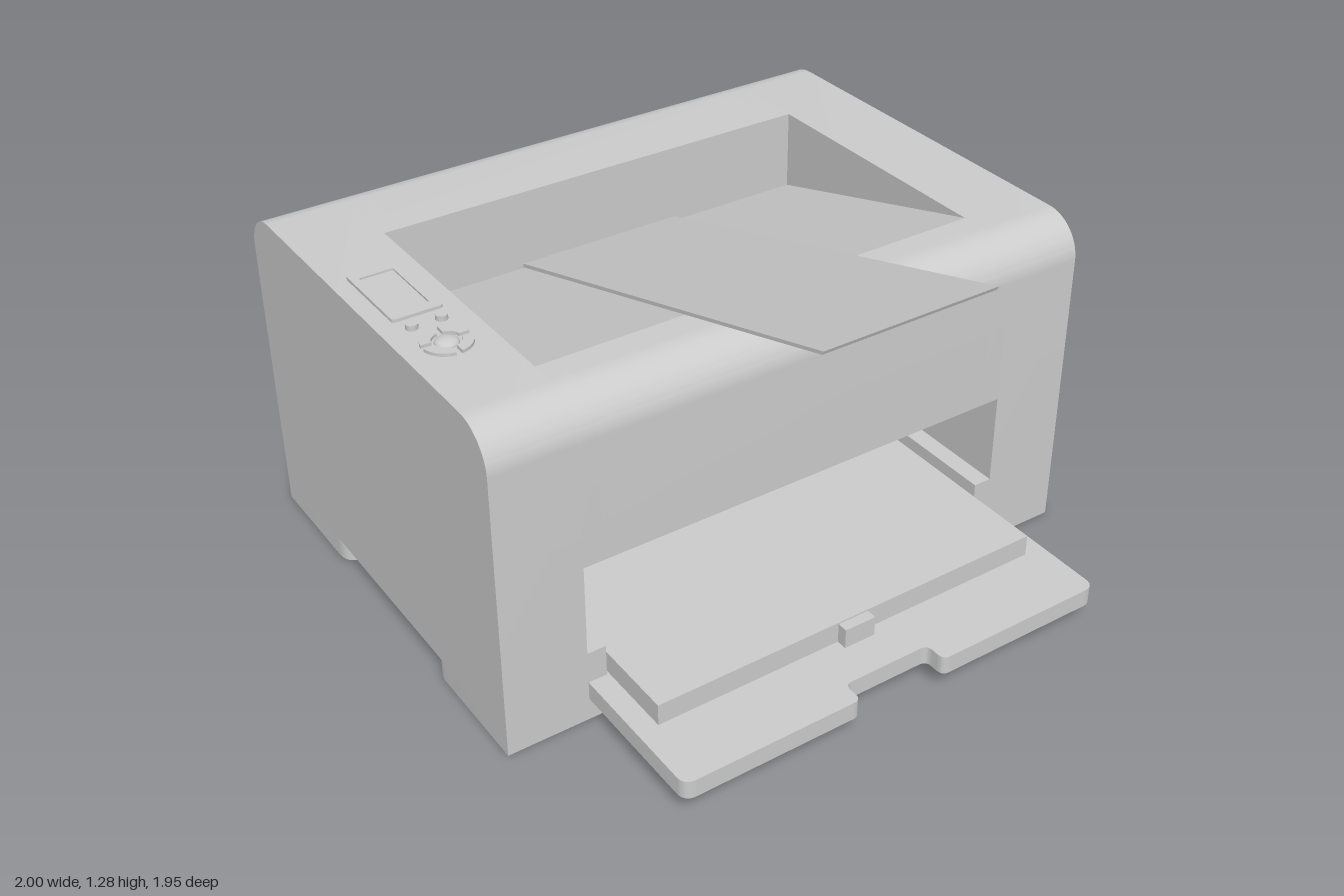
import * as THREE from 'three';
import { toCreasedNormals } from 'three/addons/utils/BufferGeometryUtils.js';

const material = new THREE.MeshStandardMaterial({ color: 0xcccccc });
const FRONT = 0.49, BACK = -0.975, TOP = 1.07, BASE = 0.07, R = 0.13;

export function createModel() {
  const model = new THREE.Group();

  const add = (name, geometry, parent = model) => {
    const mesh = new THREE.Mesh(geometry, material);
    mesh.name = name;
    parent.add(mesh);
    return mesh;
  };
  const extrude = (shape, depth) =>
    new THREE.ExtrudeGeometry(shape, { depth, bevelEnabled: false, curveSegments: 12 });

  // Side profile (z, y) swept along x from x0 to x1
  const sweepX = (shape, x0, x1) =>
    toCreasedNormals(extrude(shape, x1 - x0).rotateY(-Math.PI / 2).translate(x1, 0, 0), 0.25);
  // Plan outline (x, z) raised from y0 to y1
  const raise = (shape, y0, y1) =>
    toCreasedNormals(extrude(shape, y1 - y0).rotateX(Math.PI / 2).translate(0, y1, 0), 0.25);
  const box = (x0, x1, y0, y1, z0, z1) =>
    new THREE.BoxGeometry(x1 - x0, y1 - y0, z1 - z0)
      .translate((x0 + x1) / 2, (y0 + y1) / 2, (z0 + z1) / 2);
  const rounded = (x0, x1, z0, z1, r) => {
    const s = new THREE.Shape();
    s.absarc(x1 - r, z1 - r, r, 0, Math.PI / 2);
    s.absarc(x0 + r, z1 - r, r, Math.PI / 2, Math.PI);
    s.absarc(x0 + r, z0 + r, r, Math.PI, Math.PI * 1.5);
    s.absarc(x1 - r, z0 + r, r, Math.PI * 1.5, Math.PI * 2);
    return s;
  };

  // Body: slices across x; the inner ones hold the output recess and paper bay
  const profile = (bayFloor) => {
    const s = new THREE.Shape();
    s.moveTo(FRONT, BASE);
    if (bayFloor) {
      s.lineTo(FRONT, bayFloor);
      s.lineTo(-0.45, bayFloor);
      if (bayFloor < 0.24) s.lineTo(-0.45, 0.24);
      s.lineTo(-0.6, 0.54);
      s.lineTo(FRONT, 0.54);
    }
    s.lineTo(FRONT, TOP - R);
    s.absarc(FRONT - R, TOP - R, R, 0, Math.PI / 2);
    if (bayFloor) {
      s.lineTo(0.28, TOP);
      s.lineTo(-0.605, 0.81);
      s.lineTo(-0.605, TOP);
    }
    s.lineTo(BACK + R, TOP);
    s.absarc(BACK + R, TOP - R, R, Math.PI / 2, Math.PI);
    s.lineTo(BACK, BASE);
    return s;
  };
  const body = new THREE.Group();
  body.name = 'body';
  model.add(body);
  add('rightSide', sweepX(profile(0), -1, -0.735), body);
  add('leftSide', sweepX(profile(0), 0.735, 1), body);
  add('rightBayLedge', sweepX(profile(0.24), -0.735, -0.675), body);
  add('leftBayLedge', sweepX(profile(0.24), 0.675, 0.735), body);
  add('middleBody', sweepX(profile(0.08), -0.675, 0.675), body);

  // Feet: wide blocks with the corners next to the underside channel rounded
  const foot = (outer, inner) => {
    const d = Math.sign(inner - outer), r = 0.06;
    const s = new THREE.Shape();
    s.moveTo(-1, outer);
    s.lineTo(1, outer);
    s.lineTo(1, inner - d * r);
    s.quadraticCurveTo(1, inner, 1 - r, inner);
    s.lineTo(-1 + r, inner);
    s.quadraticCurveTo(-1, inner, -1, inner - d * r);
    return raise(s, 0, BASE);
  };
  add('frontFoot', foot(FRONT, 0.06));
  add('backFoot', foot(BACK, -0.54));

  // Paper tray with a finger notch in its front edge
  const tray = new THREE.Shape();
  const tz = 0.973, tc = 0.04, nz = 0.9, nc = 0.025;
  tray.moveTo(-0.735, FRONT - 0.005);
  tray.lineTo(-0.735, tz - tc);
  tray.quadraticCurveTo(-0.735, tz, -0.735 + tc, tz);
  tray.lineTo(-0.148 - nc, tz);
  tray.quadraticCurveTo(-0.148, tz, -0.148, tz - nc);
  tray.lineTo(-0.148, nz + nc);
  tray.quadraticCurveTo(-0.148, nz, -0.148 + nc, nz);
  tray.lineTo(0.148 - nc, nz);
  tray.quadraticCurveTo(0.148, nz, 0.148, nz + nc);
  tray.lineTo(0.148, tz - nc);
  tray.quadraticCurveTo(0.148, tz, 0.148 + nc, tz);
  tray.lineTo(0.735 - tc, tz);
  tray.quadraticCurveTo(0.735, tz, 0.735, tz - tc);
  tray.lineTo(0.735, FRONT - 0.005);
  add('paperTray', raise(tray, 0.075, 0.135));
  add('trayFloor', box(-0.67, 0.67, 0.078, 0.135, -0.44, FRONT));
  add('trayDeck', box(-0.667, 0.667, 0.135, 0.205, -0.44, 0.743));
  add('trayTab', box(-0.053, 0.053, 0.135, 0.2, 0.743, 0.777));

  // Output paper support: a thin sloping panel rising out of the recess
  const support = new THREE.Shape([
    [-0.605, 0.812], [0.91, 1.272], [0.915, 1.284], [-0.605, 0.825],
  ].map(([z, y]) => new THREE.Vector2(z, y)));
  add('paperSupport', sweepX(support, -0.282, 0.282));

  // Control panel: framed display, two buttons and a four-way pad
  const controls = new THREE.Group();
  controls.name = 'controlPanel';
  model.add(controls);
  const frame = rounded(-0.945, -0.79, -0.42, -0.125, 0.01);
  frame.holes.push(rounded(-0.92, -0.815, -0.385, -0.16, 0.006));
  add('displayFrame', raise(frame, TOP - 0.005, TOP + 0.01), controls);
  add('display', box(-0.92, -0.815, TOP - 0.005, TOP + 0.004, -0.385, -0.16), controls);
  for (const x of [-0.912, -0.822]) {
    add('button', new THREE.CylinderGeometry(0.018, 0.018, 0.02, 24)
      .translate(x, TOP + 0.006, -0.075), controls);
  }
  for (let i = 0; i < 4; i++) {
    const a = i * Math.PI / 2, s = new THREE.Shape();
    s.absarc(0, 0, 0.074, a + 0.12, a + Math.PI / 2 - 0.12, false);
    s.absarc(0, 0, 0.042, a + Math.PI / 2 - 0.2, a + 0.2, true);
    add('padKey', raise(s, TOP - 0.005, TOP + 0.01).translate(-0.868, 0, 0.043), controls);
  }
  add('padCentre', new THREE.SphereGeometry(0.035, 24, 8, 0, Math.PI * 2, 0, Math.PI / 2)
    .scale(1, 0.45, 1).translate(-0.868, TOP, 0.043), controls);

  return model;
}
